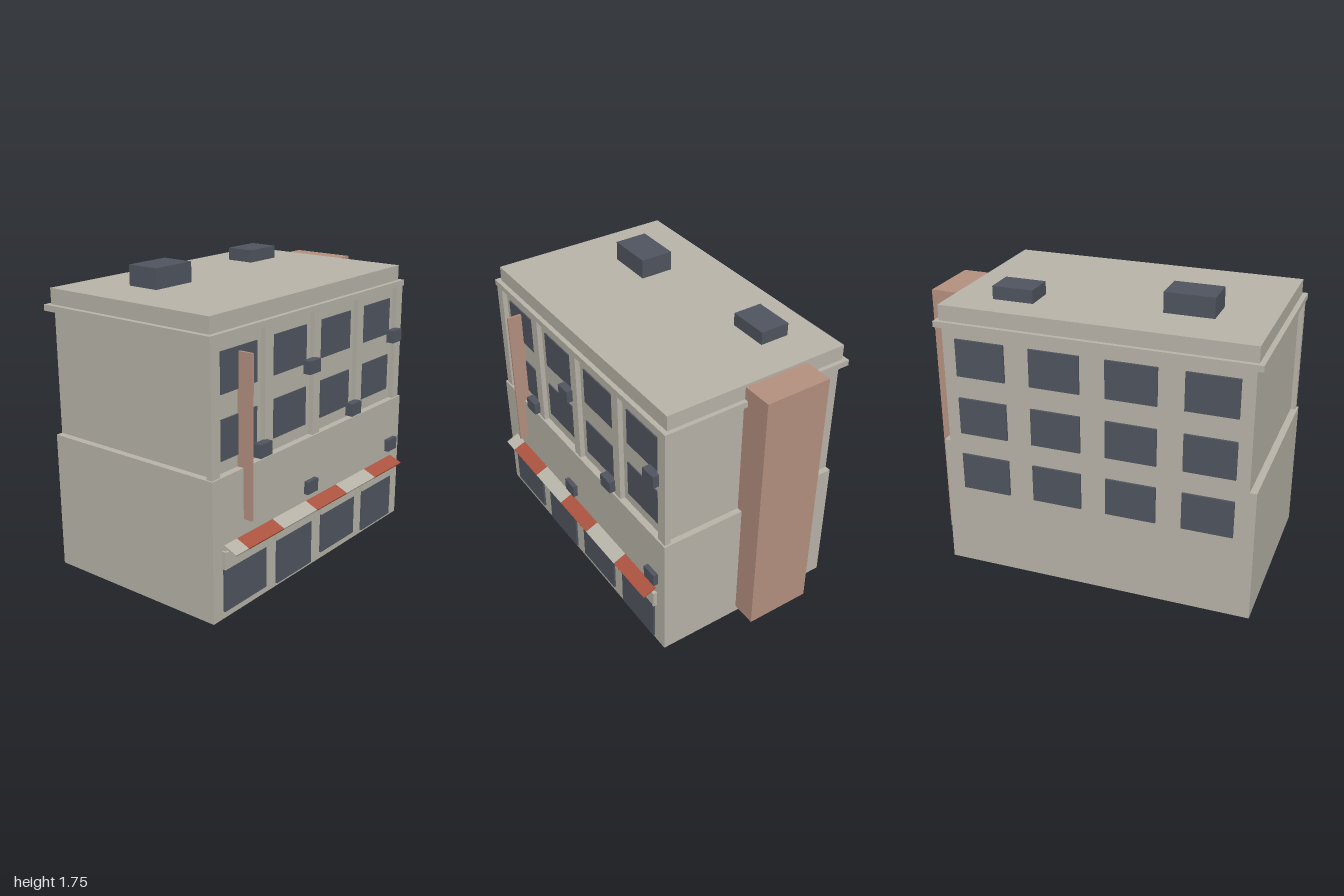
import * as THREE from 'three';

const mat = (name, color) => {
  const m = new THREE.MeshStandardMaterial({ color });
  m.name = name;
  return m;
};

export function createModel() {
  const model = new THREE.Group();
  model.name = 'building';
  const stone = mat('stone', 0xb8b4a9);
  const clay = mat('clay', 0xb59180);
  const slate = mat('slate', 0x50555f);
  const red = mat('awningRed', 0xab5440);

  // Box given by its extents on each axis
  const box = (name, m, x0, x1, y0, y1, z0, z1, parent = model) => {
    const mesh = new THREE.Mesh(new THREE.BoxGeometry(x1 - x0, y1 - y0, z1 - z0), m);
    mesh.position.set((x0 + x1) / 2, (y0 + y1) / 2, (z0 + z1) / 2);
    mesh.name = name;
    parent.add(mesh);
    return mesh;
  };

  // Main masses
  box('groundFloor', stone, -1, 0.85, 0, 0.8, -0.595, 0.555);
  box('upperFloors', stone, -0.96, 0.815, 0.8, 1.51, -0.595, 0.515);
  box('cornice', stone, -1, 0.845, 1.51, 1.545, -0.635, 0.55);
  box('parapet', stone, -0.97, 0.82, 1.545, 1.635, -0.61, 0.522);
  box('sideShaft', clay, 0.8, 1, 0.04, 1.62, -0.355, 0.045);

  // Pilasters between the front bays
  [[-0.99, -0.928], [-0.555, -0.488], [-0.11, -0.047], [0.332, 0.395], [0.772, 0.838]].forEach(
    ([a, b]) => box('pilaster', stone, a, b, 0.8, 1.51, 0.51, 0.545));

  // Upper windows, front and back
  const windowX = [-0.885, -0.443, -0.002, 0.44];
  for (const x of windowX) {
    for (const y of [0.868, 1.222]) box('frontWindow', slate, x, x + 0.293, y, y + 0.222, 0.513, 0.522);
    for (const y of [0.51, 0.866, 1.222]) box('backWindow', slate, x, x + 0.293, y, y + 0.222, -0.608, -0.593);
  }

  // Shop windows, with a fascia panel and end brackets over each
  const shops = [[-0.92, -0.563, 0.043], [-0.463, -0.133, 0.02], [-0.03, 0.322, 0.043], [0.42, 0.755, 0.02]];
  const fasciaX = [-0.93, -0.487, -0.048, 0.396];
  shops.forEach(([a, b, y], i) => {
    box('shopWindow', slate, a, b, y, 0.335, 0.55, 0.567);
    const x = fasciaX[i];
    box('fascia', stone, x + 0.012, x + 0.368, 0.29, 0.385, 0.55, 0.573);
    for (const bx of [x, x + 0.365]) box('fasciaBracket', stone, bx, bx + 0.015, 0.295, 0.395, 0.55, 0.58);
  });

  // Sloping awning in alternating bands
  const awning = new THREE.Group();
  awning.name = 'awning';
  awning.position.set(0, 0.418, 0.553);
  awning.rotation.x = 0.4;
  model.add(awning);
  const bands = [-0.91, -0.805, -0.495, -0.18, 0.13, 0.445, 0.76];
  for (let i = 0; i < bands.length - 1; i++) {
    box('awningBand', i % 2 ? red : stone, bands[i], bands[i + 1], -0.005, 0.005, 0, 0.087, awning);
  }

  // Vertical blade sign
  box('bladeSign', clay, -0.748, -0.735, 0.513, 1.42, 0.515, 0.61);

  // Wall-mounted cooling units
  [[-0.197, 1.178], [0.686, 1.178], [-0.638, 0.822], [0.243, 0.822], [-0.197, 0.47], [0.686, 0.47]].forEach(
    ([x, y]) => box('coolingUnit', slate, x, x + 0.099, y, y + 0.076, y < 0.8 ? 0.55 : 0.535, 0.583));

  // Roof units
  box('roofUnitLarge', slate, -0.66, -0.375, 1.63, 1.752, -0.312, -0.112);
  box('roofUnitSmall', slate, 0.335, 0.577, 1.63, 1.711, -0.422, -0.245);

  return model;
}
